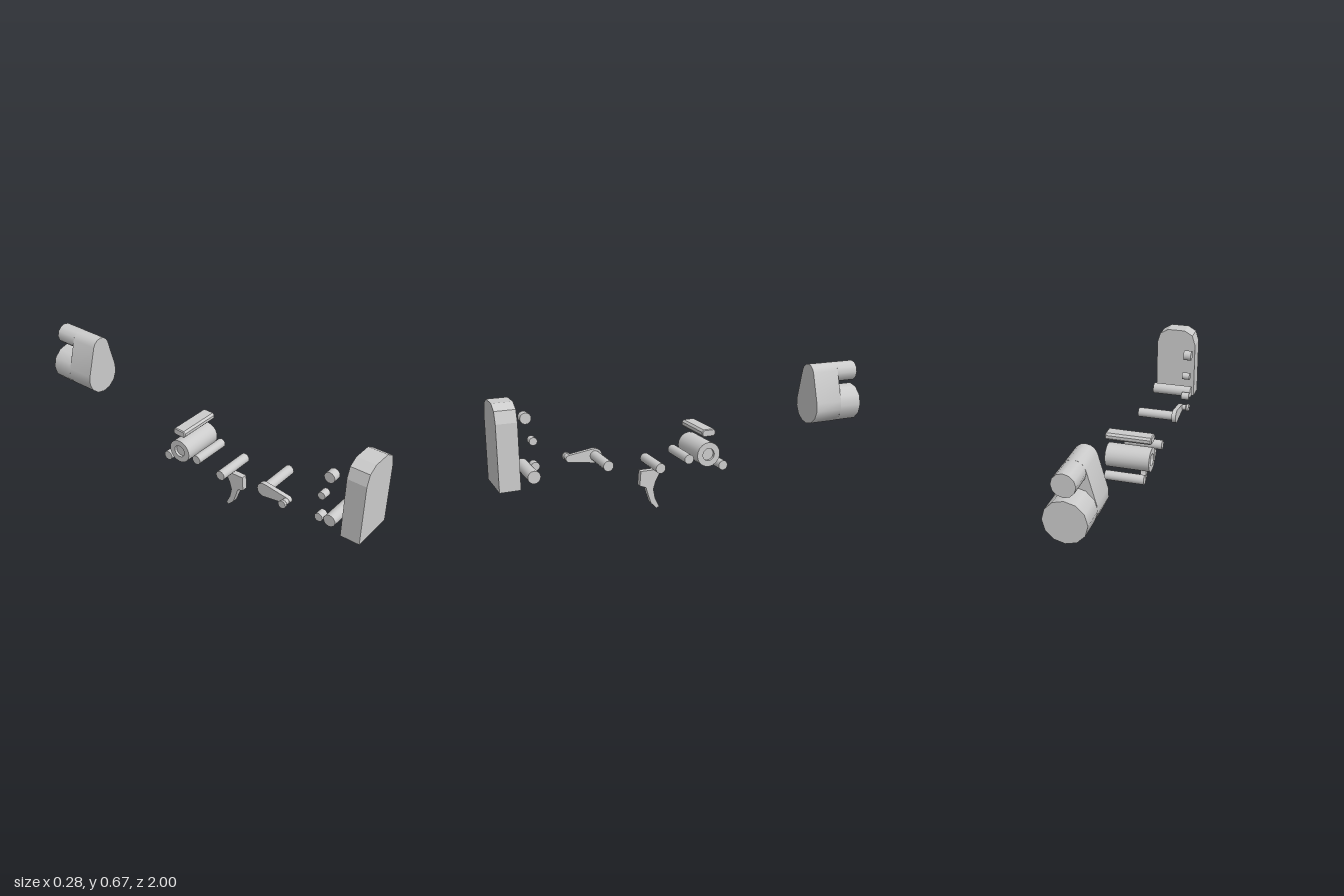
import * as THREE from 'three';
import { toCreasedNormals } from 'three/addons/utils/BufferGeometryUtils.js';

const material = new THREE.MeshStandardMaterial({ color: 0xcccccc });
const CX = 0.015; // common centre line of the parts

export function createModel() {
  const model = new THREE.Group();

  const add = (name, geometry, parent = model) => {
    const mesh = new THREE.Mesh(geometry, material);
    mesh.name = name;
    parent.add(mesh);
    return mesh;
  };

  const shapeOf = (points) => new THREE.Shape(points.map(([u, v]) => new THREE.Vector2(u, v)));

  const extrude = (points, depth, options = {}) =>
    new THREE.ExtrudeGeometry(shapeOf(points), { depth, bevelEnabled: false, ...options });

  // Profile drawn in (z, y), thickness running along x from x0 to x1
  const extrudeX = (points, x0, x1, options) =>
    extrude(points, x1 - x0, options).rotateY(-Math.PI / 2).translate(x1, 0, 0);

  // Round bar lying along x
  const pinX = (name, x0, x1, y, z, r, parent, rEnd = r) =>
    add(name, new THREE.CylinderGeometry(r, rEnd, x1 - x0, 16)
      .rotateZ(-Math.PI / 2).translate((x0 + x1) / 2, y, z), parent);

  // Outline wrapped round a large and a small circle
  const teardrop = (u1, v1, r1, u2, v2, r2, n1, n2) => {
    const phi = Math.atan2(v2 - v1, u2 - u1);
    const a = Math.acos((r1 - r2) / Math.hypot(u2 - u1, v2 - v1));
    const points = [];
    const arc = (u, v, r, from, to, n) => {
      for (let i = 0; i <= n; i++) {
        const t = from + ((to - from) * i) / n;
        points.push([u + r * Math.cos(t), v + r * Math.sin(t)]);
      }
    };
    arc(u1, v1, r1, phi + a, phi + 2 * Math.PI - a, n1);
    arc(u2, v2, r2, phi - a, phi + a, n2);
    return points;
  };

  // Front plate with a chamfered arch top
  const half = [[0.115, 0.233], [0.115, 0.555], [0.097, 0.612], [0.05, 0.639]];
  const outline = [...half, ...half.map(([x, y]) => [-x, y]).reverse()];
  add('frontPlate', extrude(outline.map(([x, y]) => [x + CX, y]), 0.1).translate(0, 0, 0.9));

  // Pins behind the plate: one long, three short
  pinX('longPlatePin', -0.098, 0.128, 0.285, 0.835, 0.031);
  [[0.521, 0.815, 0.028], [0.404, 0.783, 0.02], [0.278, 0.778, 0.022]].forEach(([y, z, r], i) =>
    pinX(`shortPin${i + 1}`, -0.1, -0.056, y, z, r));

  // Lever with its shaft and a flared knob
  const lever = new THREE.Group();
  lever.name = 'lever';
  model.add(lever);
  add('leverArm', toCreasedNormals(
    extrudeX(teardrop(0.467, 0.287, 0.037, 0.6, 0.287, 0.018, 14, 8), -0.102, -0.078), 0.7), lever);
  pinX('leverShaft', -0.09, 0.118, 0.287, 0.467, 0.026, lever);
  pinX('knobStem', -0.123, -0.1, 0.287, 0.6, 0.016, lever);
  pinX('knobFlare', -0.128, -0.122, 0.287, 0.6, 0.016, lever, 0.021);
  pinX('knobHead', -0.14, -0.128, 0.287, 0.6, 0.021, lever);

  // Curved trigger under its pivot
  add('trigger', extrudeX([
    [0.265, 0.208], [0.272, 0.132], [0.238, 0.118], [0.227, 0.078], [0.211, 0.03], [0.182, 0],
    [0.168, 0.008], [0.19, 0.056], [0.198, 0.104], [0.187, 0.142], [0.152, 0.206],
  ], 0, 0.032));

  // Cross pins sharing one length
  pinX('triggerPin', -0.09, 0.118, 0.238, 0.193, 0.026);
  pinX('middlePin', -0.09, 0.118, 0.265, 0.037, 0.025);
  pinX('rearPin', -0.088, 0.118, 0.209, -0.155, 0.025);

  // Drum with a round recess in each end
  const h = 0.116, R = 0.063, r = 0.032, d = 0.015;
  const drum = new THREE.LatheGeometry([
    [0, d - h], [r, d - h], [r, -h], [R, -h], [R, h], [r, h], [r, h - d], [0, h - d],
  ].map(([x, y]) => new THREE.Vector2(x, y)), 20);
  add('drum', toCreasedNormals(drum, 0.7).rotateZ(-Math.PI / 2).translate(CX, 0.281, -0.065));

  // Flat bar with rounded sides and slightly bevelled ends
  const a = 0.038, b = 0.019, c = 0.008, e = 0.028;
  add('flatBar', extrudeX([
    [e, -b], [a, -c], [a, c], [e, b], [-e, b], [-a, c], [-a, -c], [-e, -b],
  ], -0.1, 0.132, { bevelEnabled: true, bevelSize: 0.004, bevelOffset: -0.004, bevelThickness: 0.005, bevelSegments: 1 })
    .translate(0, 0.395, -0.063));

  // Rear housing: a teardrop block that splits into two barrels
  const housing = new THREE.Group();
  housing.name = 'rearHousing';
  model.add(housing);
  add('housingBlock', toCreasedNormals(
    extrude(teardrop(CX, 0.446, 0.101, CX, 0.618, 0.055, 8, 6), 0.155), 0.7).translate(0, 0, -0.875), housing);
  [['lowerBarrel', 0.446, 0.101], ['upperBarrel', 0.618, 0.055]].forEach(([name, y, radius]) =>
    add(name, new THREE.CylinderGeometry(radius, radius, 0.125, 12)
      .rotateX(Math.PI / 2).translate(CX, y, -0.9375), housing));

  return model;
}
